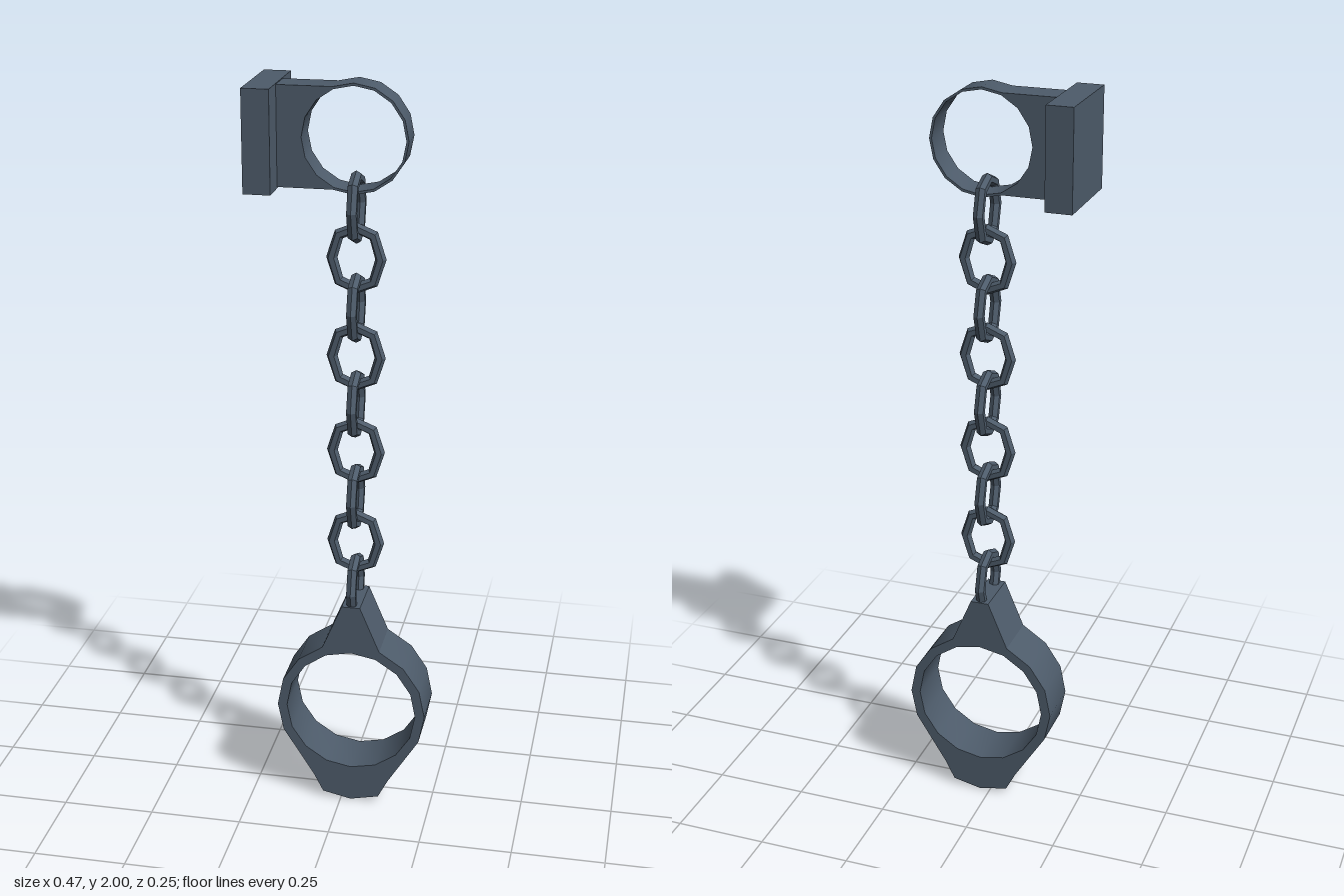
import * as THREE from 'three';
import { toCreasedNormals } from 'three/addons/utils/BufferGeometryUtils.js';

const COLOR = 0x4d5b6a;
const CX = 0.028; // axis of ring, chain and cuff
const CZ = 0.0075;

// Corner of a 16-sided circle, counted anticlockwise from +x
function corner(r, cy, i) {
  const a = (i * Math.PI) / 8;
  return new THREE.Vector2(CX + r * Math.cos(a), cy + r * Math.sin(a));
}

// Corners from index a to index b
function corners(r, cy, a, b) {
  const pts = [];
  for (let i = a; i <= b; i++) pts.push(corner(r, cy, i));
  return pts;
}

// Plate of given depth with a 16-sided hole, centred on CZ
function holedPlate(outline, holeR, cy, depth) {
  const shape = new THREE.Shape(outline);
  shape.holes.push(new THREE.Path(corners(holeR, cy, 0, 15).reverse()));
  const geo = new THREE.ExtrudeGeometry(shape, { depth, bevelEnabled: false });
  geo.translate(0, 0, CZ - depth / 2);
  return toCreasedNormals(geo, 0.5);
}

// Elongated eight-sided link in the xy plane
function linkGeometry() {
  const geo = new THREE.TorusGeometry(0.063, 0.0145, 6, 8);
  const p = geo.attributes.position;
  for (let i = 0; i < p.count; i++) {
    const y = p.getY(i);
    if (Math.abs(y) > 0.005) p.setY(i, y + Math.sign(y) * 0.016);
  }
  geo.computeVertexNormals();
  return geo;
}

export function createModel() {
  const model = new THREE.Group();
  model.name = 'wallShackle';
  const smooth = new THREE.MeshStandardMaterial({ color: COLOR });
  const flat = new THREE.MeshStandardMaterial({ color: COLOR, flatShading: true });

  const add = (name, geo, mat, parent = model) => {
    const mesh = new THREE.Mesh(geo, mat);
    mesh.name = name;
    parent.add(mesh);
    return mesh;
  };

  // Wall plate
  add('wallPlate', new THREE.BoxGeometry(0.07, 0.26, 0.245), flat).position.set(-0.2, 1.862, -0.001);

  // Bracket block running into a thin ring
  const ringY = 1.8625;
  const bracket = [
    ...corners(0.1375, ringY, -5, 5),
    new THREE.Vector2(-0.17, 1.9895),
    new THREE.Vector2(-0.17, 1.7355),
  ];
  add('bracketRing', holedPlate(bracket, 0.131, ringY, 0.08), smooth);

  // Chain: alternate links are turned a quarter
  const chain = new THREE.Group();
  chain.name = 'chain';
  model.add(chain);
  const link = linkGeometry();
  for (let i = 0; i < 9; i++) {
    const mesh = add('link' + (i + 1), link, flat, chain);
    mesh.position.set(CX, 1.683 - 0.131 * i, CZ);
    if (i % 2 === 0) mesh.rotation.y = Math.PI / 2;
  }

  // Cuff: ring with a tapered neck above and a clasp block below
  const cuffY = 0.283;
  const cuff = [
    ...corners(0.205, cuffY, -1, 3),
    new THREE.Vector2(CX + 0.025, 0.6),
    new THREE.Vector2(CX - 0.025, 0.6),
    ...corners(0.205, cuffY, 5, 9),
    new THREE.Vector2(CX - 0.105, 0.07),
    new THREE.Vector2(CX - 0.078, 0.017),
    new THREE.Vector2(CX, 0),
    new THREE.Vector2(CX + 0.078, 0.017),
    new THREE.Vector2(CX + 0.105, 0.07),
  ];
  add('cuff', holedPlate(cuff, 0.179, cuffY, 0.139), smooth);

  return model;
}
